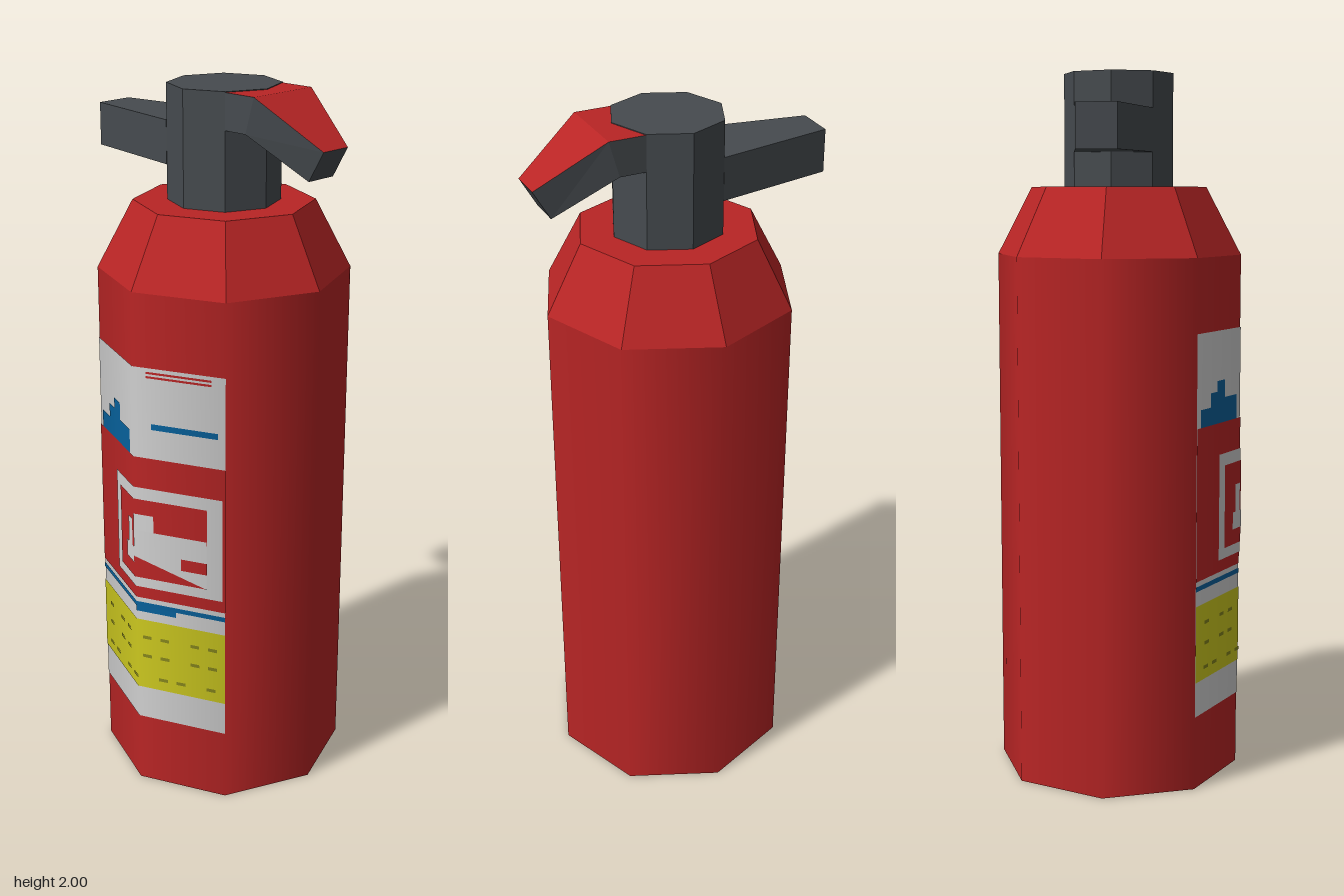
import * as THREE from 'three';
import { mergeGeometries } from 'three/addons/utils/BufferGeometryUtils.js';

const mat = (name, color) => Object.assign(new THREE.MeshStandardMaterial({ color }), { name });

const Z = 0.023; // axis of the cylinder
const R = 0.35;  // body radius

// Flat-shaded bar lofted through sections [halfWidth, topZ, topY, bottomZ, bottomY], ordered by z.
// Top faces form group 0, all others group 1.
function loft(sections) {
  const rings = sections.map(([w, tz, ty, bz, by]) => [[-w, ty, tz], [w, ty, tz], [w, by, bz], [-w, by, bz]]);
  const top = [], rest = [];
  const quad = (out, a, b, c, d) => out.push(...a, ...b, ...c, ...a, ...c, ...d);
  for (let i = 0; i < rings.length - 1; i++) {
    const p = rings[i], q = rings[i + 1];
    for (let k = 0; k < 4; k++) {
      const n = (k + 1) % 4;
      quad(k === 0 ? top : rest, p[k], q[k], q[n], p[n]);
    }
  }
  const s = rings[0], e = rings[rings.length - 1];
  quad(rest, s[0], s[1], s[2], s[3]);
  quad(rest, e[0], e[3], e[2], e[1]);
  const g = new THREE.BufferGeometry();
  g.setAttribute('position', new THREE.Float32BufferAttribute([...top, ...rest], 3));
  g.computeVertexNormals();
  g.addGroup(0, top.length / 3, 0);
  g.addGroup(top.length / 3, rest.length / 3, 1);
  return g;
}

// Label patch on the two side faces meeting at -x: u runs from -1 (rear) to 1 (front), bent at u = 0.
function patch(layer, u0, u1, y0, y1, y0End = y0) {
  const spans = u0 < 0 && u1 > 0 ? [[u0, 0], [0, u1]] : [[u0, u1]];
  const r = R + 0.0018 * (layer + 1), c = Math.SQRT1_2;
  return mergeGeometries(spans.map(([a, b]) => {
    const g = new THREE.PlaneGeometry(1, 1);
    const p = g.attributes.position, n = g.attributes.normal;
    for (let i = 0; i < p.count; i++) {
      const u = p.getX(i) < 0 ? a : b;
      const low = THREE.MathUtils.mapLinear(u, u0, u1, y0, y0End);
      const y = p.getY(i) < 0 ? low : y1;
      const dx = -1 + (1 - c) * Math.abs(u), dz = c * u, l = Math.hypot(dx, dz);
      p.setXYZ(i, dx * r, y, dz * r + Z);
      n.setXYZ(i, dx / l, 0, dz / l);
    }
    return g;
  }));
}

export function createModel() {
  const red = mat('red paint', 0xb92525);
  const grey = mat('dark grey plastic', 0x464b4f);
  const white = mat('label white', 0xd0d0d0);
  const yellow = mat('label yellow', 0xccc81f);
  const blue = mat('label blue', 0x06609a);
  const olive = mat('label olive', 0x85851c);

  const model = new THREE.Group();
  const add = (name, geometry, material) => {
    const m = new THREE.Mesh(geometry, material);
    m.name = name;
    model.add(m);
    return m;
  };
  const drum = (rTop, rBottom, y0, y1, open) =>
    new THREE.CylinderGeometry(rTop, rBottom, y1 - y0, 8, 1, open).translate(0, (y0 + y1) / 2, Z);

  // Eight-sided body with smooth sides, then a faceted shoulder
  add('body', drum(R, R, 0, 1.495, false), red);
  const flat = (g) => {
    const f = g.toNonIndexed();
    f.computeVertexNormals();
    return f;
  };
  add('shoulder', flat(drum(0.25, R, 1.495, 1.685, false)), red);

  // Valve head
  add('valveHead', flat(drum(0.155, 0.155, 1.68, 2, false)), grey);

  // Bent front lever with a red top, and the tapered rear handle
  add('frontLever', loft([
    [0.11, 0.12, 1.998, 0.12, 1.9],
    [0.11, 0.233, 1.998, 0.205, 1.9],
    [0.047, 0.415, 1.875, 0.368, 1.793],
  ]), [red, grey]);
  add('rearHandle', loft([
    [0.055, -0.415, 1.9, -0.415, 1.78],
    [0.11, -0.087, 1.9, -0.087, 1.78],
  ]), [grey, grey]);

  // Label: paper, colour bands, then the framed pictogram
  const label = (name, material, patches) =>
    add(name, mergeGeometries(patches.map((p) => patch(...p))), material);
  label('labelPaper', white, [[0, -1, 1, 0.21, 1.29]]);
  label('labelRedBands', red, [
    [1, -1, 1, 0.6, 1.03],
    [1, 0.15, 0.85, 1.262, 1.268], [1, 0.15, 0.85, 1.274, 1.28],
  ]);
  label('labelYellowBand', yellow, [[1, -1, 1, 0.31, 0.53]]);
  label('labelBlueMarks', blue, [
    [1, -1, 1, 0.572, 0.586],
    [1, 0, 0.45, 0.556, 0.572],
    [1, 0.2, 0.92, 1.115, 1.132],
    [1, -0.92, -0.7, 1.03, 1.08], [1, -0.7, -0.55, 1.03, 1.12],
    [1, -0.55, -0.38, 1.03, 1.15], [1, -0.38, -0.1, 1.03, 1.1],
  ]);

  // Small dashes on the yellow band
  const dashes = [];
  for (let i = 0; i < 10; i++) {
    const u = -0.85 + 0.18 * i;
    for (const y of [0.34, 0.41, 0.47]) {
      const v = u + ((i * 7 + y * 100) % 3) * 0.02;
      if ((u < -0.08 || u > 0) && (i + Math.round(y * 100)) % 3) dashes.push([2, v, v + 0.1, y, y + 0.01]);
    }
  }
  label('labelDashes', olive, dashes);

  label('pictogramFrame', white, [[2, -0.5, 0.97, 0.635, 0.94]]);
  label('pictogramField', red, [[3, -0.38, 0.8, 0.665, 0.905]]);
  label('pictogramShape', white, [
    [4, 0, 0.8, 0.73, 0.81, 0.665],
    [4, -0.2, 0, 0.71, 0.76], [4, -0.14, -0.04, 0.76, 0.84],
    [4, 0, 0.22, 0.81, 0.86],
  ]);
  label('pictogramDot', red, [[4.4, 0.52, 0.8, 0.71, 0.745]]);

  return model;
}
